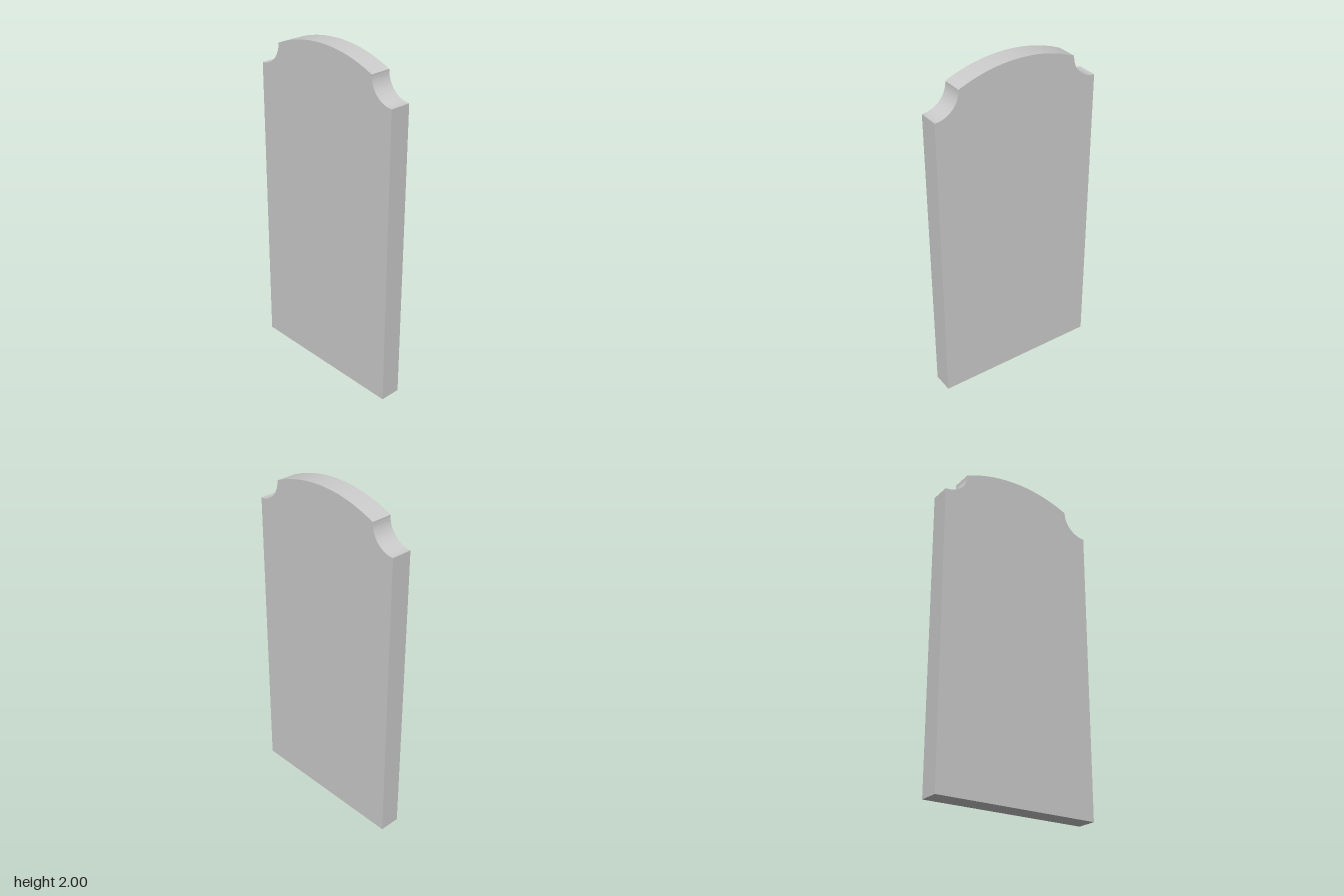
import * as THREE from 'three';
import { toCreasedNormals } from 'three/addons/utils/BufferGeometryUtils.js';

export function createModel() {
  const group = new THREE.Group();
  group.name = 'headstone';

  const halfWidth = 0.5, height = 2, depth = 0.125;
  const notch = 0.143;          // radius of the scooped shoulders
  const shoulder = 1.924;       // height where the crown meets the scoops

  // Crown arc through both inner shoulder corners and the apex
  const halfChord = halfWidth - notch;
  const rise = height - shoulder;
  const radius = (halfChord ** 2 + rise ** 2) / (2 * rise);
  const start = Math.acos(halfChord / radius);

  // Outline: straight sides, concave quarter-circle shoulders, arched crown
  const outline = new THREE.Shape();
  outline.moveTo(-halfWidth, 0);
  outline.lineTo(halfWidth, 0);
  outline.absarc(halfWidth, shoulder, notch, Math.PI * 1.5, Math.PI, true);
  outline.absarc(0, height - radius, radius, start, Math.PI - start, false);
  outline.absarc(-halfWidth, shoulder, notch, 0, -Math.PI / 2, true);
  outline.closePath();

  // Slab
  const geometry = new THREE.ExtrudeGeometry(outline, { depth, bevelEnabled: false, curveSegments: 24 });
  geometry.translate(0, 0, -depth / 2);
  const slab = new THREE.Mesh(
    toCreasedNormals(geometry, 0.5),
    new THREE.MeshStandardMaterial({ color: 0xcccccc })
  );
  slab.name = 'slab';
  group.add(slab);

  return group;
}
